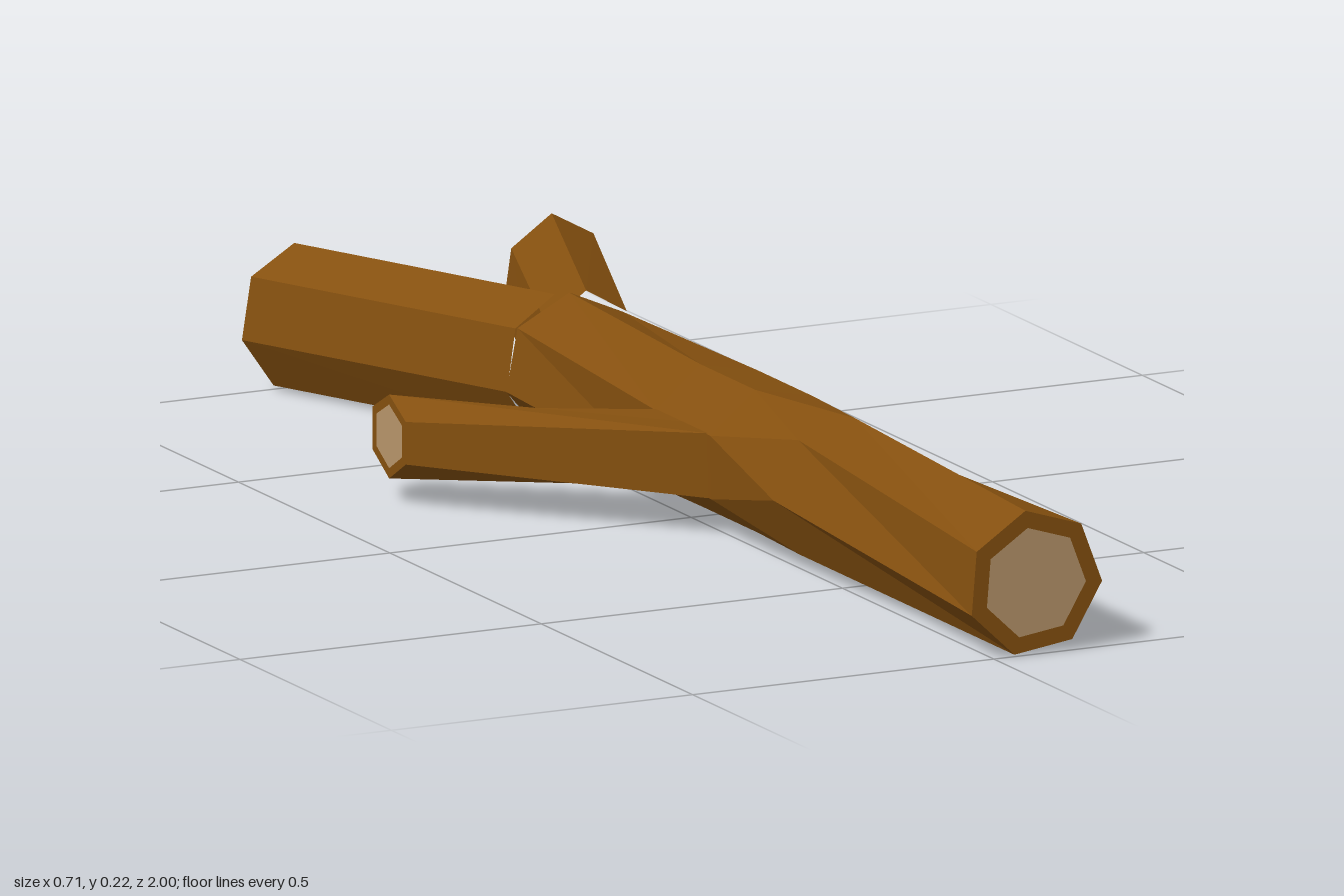
import * as THREE from 'three';

const bark = new THREE.MeshStandardMaterial({ color: 0x85500f, flatShading: true });
const wood = new THREE.MeshStandardMaterial({ color: 0xb8956a, flatShading: true });

const V = (x, y, z) => new THREE.Vector3(x, y, z);

// Seven-sided ring facing +z; lean shifts z in proportion to x
function ring(x, z, twist, sx = 1, lean = 0) {
  return Array.from({ length: 7 }, (_, i) => {
    const a = THREE.MathUtils.degToRad(98 + twist + i * 360 / 7);
    const dx = 0.112 * sx * Math.cos(a);
    return V(x + dx, 0.115 + 0.112 * Math.sin(a), z + lean * dx);
  });
}

function centre(points) {
  return points.reduce((s, p) => s.add(p), V(0, 0, 0)).divideScalar(points.length);
}

function inset(points) {
  const c = centre(points);
  return points.map((p) => c.clone().lerp(p, 0.76));
}

function mesh(name, triangles, material) {
  const g = new THREE.BufferGeometry().setFromPoints(triangles);
  g.computeVertexNormals();
  const m = new THREE.Mesh(g, material);
  m.name = name;
  return m;
}

// Skin of quads between successive rings
function loft(name, rings) {
  const t = [];
  for (let k = 0; k + 1 < rings.length; k++) {
    const p = rings[k], q = rings[k + 1], n = p.length;
    for (let i = 0; i < n; i++) {
      const j = (i + 1) % n;
      t.push(p[i], q[i], p[j], p[j], q[i], q[j]);
    }
  }
  return mesh(name, t, bark);
}

// Flat end; atEnd flips it to face the way the limb grows
function cap(name, points, material, atEnd) {
  const c = centre(points), t = [];
  points.forEach((p, i) => {
    const q = points[(i + 1) % points.length];
    if (atEnd) t.push(c, q, p);
    else t.push(c, p, q);
  });
  return mesh(name, t, material);
}

// Limb with a bark rim and a pale cut at its tip
function limb(name, start, end) {
  const group = new THREE.Group();
  group.name = name;
  const cut = inset(end);
  group.add(loft(name + 'Bark', [start, end, cut]), cap(name + 'Cut', cut, wood, true));
  return group;
}

export function createModel() {
  const model = new THREE.Group();
  model.name = 'log';

  // Trunk, twisting along its length
  const stations = [[1, 0], [0.36, -20], [0.13, 6], [-0.05, 6], [-0.53, -6]];
  const rings = stations.map(([z, twist]) => ring(0.068, z, twist));
  const frontCut = inset(rings[0]);
  model.add(
    loft('trunkBark', [frontCut, ...rings]),
    cap('trunkCut', frontCut, wood, false),
    cap('forkFill', rings[rings.length - 1], bark, true),
  );

  // Two forked limbs at the back
  model.add(
    limb('leftFork', ring(0.095, -0.53, -6, 0.76), ring(0.268, -0.988, -6, 0.8, -0.05)),
    limb('rightFork', ring(0.043, -0.53, -6, 0.76), ring(-0.157, -0.992, -6, 0.8, 0.08)),
  );

  // Six-sided side branch growing from the right flank
  const base = [[0.163, -0.05], [0.163, 0.035], [0.163, 0.12], [0.064, 0.12], [0.064, 0.035], [0.064, -0.05]];
  const tip = [[0.14, -0.34], [0.17, -0.285], [0.14, -0.23], [0.075, -0.23], [0.042, -0.285], [0.075, -0.34]];
  model.add(limb('sideBranch', base.map(([y, z]) => V(-0.032, y, z)), tip.map(([y, z]) => V(-0.358, y, z))));

  return model;
}
